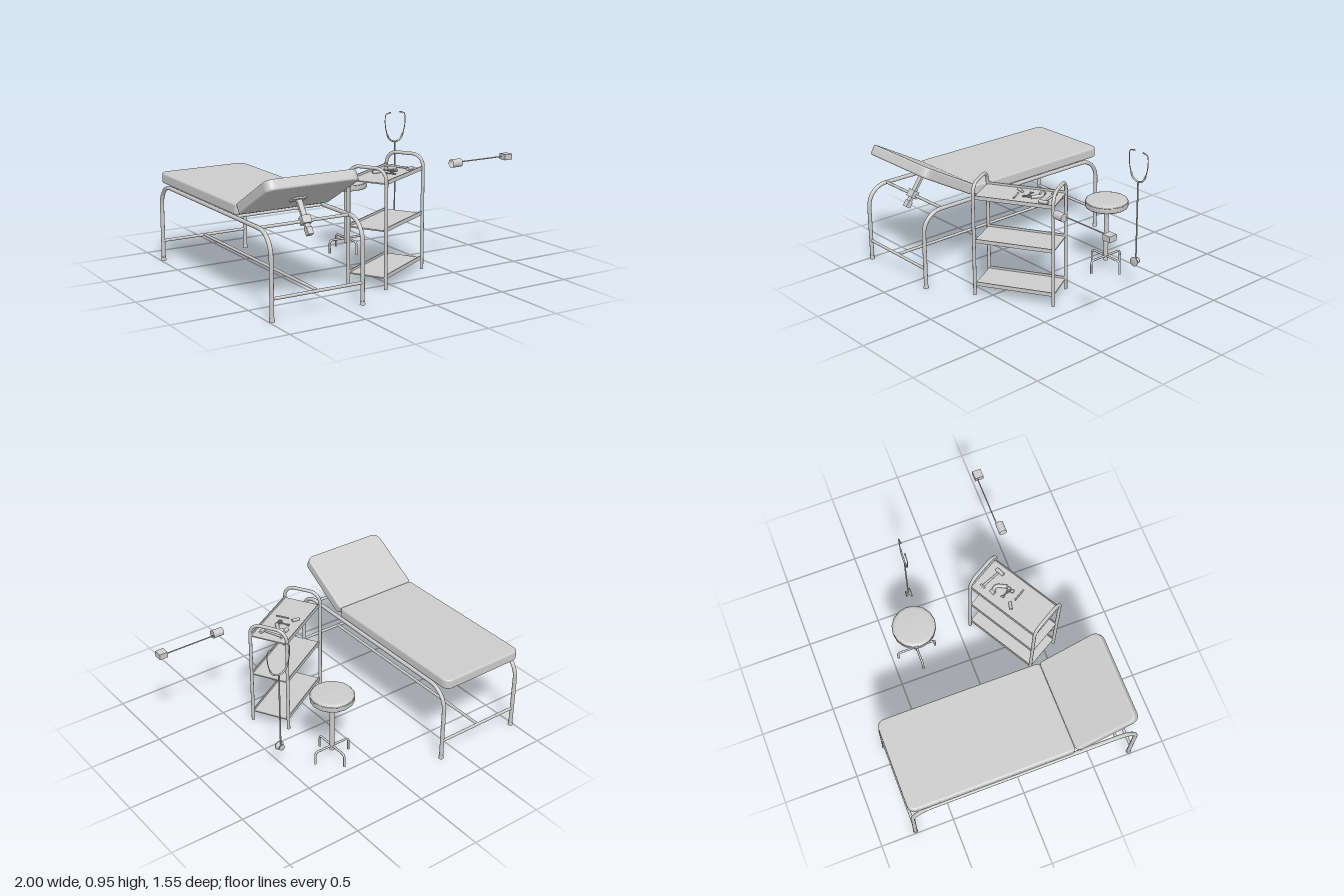
import * as THREE from 'three';

const material = new THREE.MeshStandardMaterial({ color: 0xcccccc, side: THREE.DoubleSide });
const V = (x, y, z) => new THREE.Vector3(x, y, z);

function add(parent, name, geometry, x = 0, y = 0, z = 0) {
  const mesh = new THREE.Mesh(geometry, material);
  mesh.name = name;
  mesh.position.set(x, y, z);
  parent.add(mesh);
  return mesh;
}

function group(parent, name, x = 0, y = 0, z = 0) {
  const g = new THREE.Group();
  g.name = name;
  g.position.set(x, y, z);
  parent.add(g);
  return g;
}

const box = (parent, name, w, h, d, x, y, z) => add(parent, name, new THREE.BoxGeometry(w, h, d), x, y, z);

// Straight round bar between two points
function bar(parent, name, a, b, r, r2 = r) {
  const mesh = add(parent, name, new THREE.CylinderGeometry(r2, r, a.distanceTo(b), 12));
  mesh.position.copy(a).add(b).multiplyScalar(0.5);
  mesh.quaternion.setFromUnitVectors(V(0, 1, 0), b.clone().sub(a).normalize());
  return mesh;
}

// Tube along a polyline whose inner corners are rounded
function bentTube(parent, name, points, cornerRadius, r, segments = 80) {
  const path = new THREE.CurvePath();
  let from = points[0];
  for (let i = 1; i < points.length - 1; i++) {
    const p = points[i];
    const before = p.clone().add(points[i - 1].clone().sub(p).setLength(cornerRadius));
    const after = p.clone().add(points[i + 1].clone().sub(p).setLength(cornerRadius));
    const k = 0.552;
    path.add(new THREE.LineCurve3(from, before));
    path.add(new THREE.CubicBezierCurve3(before, before.clone().lerp(p, k), after.clone().lerp(p, k), after));
    from = after;
  }
  path.add(new THREE.LineCurve3(from, points[points.length - 1]));
  return add(parent, name, new THREE.TubeGeometry(path, segments, r, 10));
}

// Padded slab, z from 0 to length, y from 0 to height; the far end has the rounder corners
function cushion(parent, name, width, length, height) {
  const bevel = 0.012, w = width / 2 - bevel, l = length - bevel, R = 0.045, r = 0.012;
  const s = new THREE.Shape();
  s.moveTo(-w + r, bevel);
  s.lineTo(w - r, bevel);
  s.quadraticCurveTo(w, bevel, w, bevel + r);
  s.lineTo(w, l - R);
  s.quadraticCurveTo(w, l, w - R, l);
  s.lineTo(-w + R, l);
  s.quadraticCurveTo(-w, l, -w, l - R);
  s.lineTo(-w, bevel + r);
  s.quadraticCurveTo(-w, bevel, -w + r, bevel);
  const geometry = new THREE.ExtrudeGeometry(s, {
    depth: height - 2 * bevel, bevelThickness: bevel, bevelSize: bevel, bevelSegments: 3, curveSegments: 8,
  });
  geometry.rotateX(Math.PI / 2).translate(0, height - bevel, 0);
  return add(parent, name, geometry);
}

function buildBed(root) {
  const bed = group(root, 'examinationBed', -0.675);
  const halfX = 0.307, endZ = 0.76, topY = 0.523;
  for (const x of [-halfX, halfX]) {
    bentTube(bed, 'sideFrame', [V(x, 0.01, endZ), V(x, topY, endZ), V(x, topY, -endZ), V(x, 0.01, -endZ)], 0.14, 0.0135, 110);
    for (const z of [-endZ, endZ]) add(bed, 'foot', new THREE.CylinderGeometry(0.015, 0.017, 0.025, 12), x, 0.0125, z);
  }
  for (const z of [-endZ, endZ]) bar(bed, 'lowerCrossBar', V(-halfX, 0.137, z), V(halfX, 0.137, z), 0.01);
  bar(bed, 'lowerLongBar', V(0, 0.137, -endZ), V(0, 0.137, endZ), 0.01);
  for (const z of [0.61, 0.3, -0.6]) bar(bed, 'upperCrossBar', V(-halfX, topY, z), V(halfX, topY, z), 0.01);

  // Flat mattress and tilted backrest
  const mattress = cushion(bed, 'mattress', 0.618, 1.105, 0.07);
  mattress.rotation.y = Math.PI;
  mattress.position.set(0, 0.536, 0.33);
  const backrest = group(bed, 'backrest', 0, 0.545, 0.36);
  backrest.rotation.x = -0.517;
  cushion(backrest, 'backrestCushion', 0.618, 0.445, 0.07);
  box(backrest, 'propPlate', 0.09, 0.012, 0.06, 0, -0.004, 0.2);

  // Adjustable prop sliding through a sleeve on the cross bar
  const prop = group(bed, 'backrestProp', 0, 0.645, 0.535);
  prop.rotation.x = -0.62;
  box(prop, 'propBar', 0.034, 0.24, 0.018, 0, -0.11, 0);
  box(prop, 'propSleeve', 0.06, 0.05, 0.045, 0, -0.14, 0);
  box(prop, 'propStop', 0.036, 0.045, 0.036, 0, -0.213, 0);
}

function buildCart(root) {
  const cart = group(root, 'instrumentCart', 0.08, 0, 0.335);
  cart.rotation.y = Math.PI / 6;
  for (const x of [-0.264, 0.264]) {
    bentTube(cart, 'endFrame', [V(x, 0, 0.131), V(x, 0.762, 0.131), V(x, 0.762, -0.131), V(x, 0, -0.131)], 0.075, 0.0115, 110);
  }
  for (const y of [0.075, 0.375, 0.672]) {
    box(cart, 'shelf', 0.528, 0.008, 0.25, 0, y - 0.004, 0);
    for (const z of [-0.126, 0.126]) box(cart, 'shelfLip', 0.528, 0.026, 0.006, 0, y + 0.002, z);
  }
}

// Small tools lying on the top shelf
function buildInstruments(root) {
  const tools = group(root, 'instruments', 0, 0.681, 0);
  bar(tools, 'hammerHandle', V(0.225, 0, 0.171), V(0.28, 0, 0.305), 0.008, 0.006);
  bar(tools, 'hammerHead', V(0.25, 0, 0.322), V(0.306, 0, 0.296), 0.012);
  bar(tools, 'hammerEnd', V(0.208, 0, 0.177), V(0.24, 0, 0.162), 0.007);
  bentTube(tools, 'scopeHandle', [V(0.16, 0, 0.21), V(0.2, 0, 0.25), V(0.165, 0, 0.315)], 0.02, 0.012, 16);
  bar(tools, 'scopeHead', V(0.15, 0, 0.222), V(0.18, 0, 0.206), 0.015, 0.009);
  for (const [x, z] of [[0.125, 0.335], [0.15, 0.32]]) {
    const ring = add(tools, 'scissorRing', new THREE.TorusGeometry(0.012, 0.003, 6, 12), x, 0, z);
    ring.rotation.x = Math.PI / 2;
  }
  bar(tools, 'scissorBlade', V(0.128, 0, 0.323), V(0.115, 0, 0.25), 0.003);
  bar(tools, 'scissorBlade', V(0.143, 0, 0.312), V(0.1, 0, 0.262), 0.003);
  bar(tools, 'probe', V(0.06, 0, 0.33), V(0.105, 0, 0.405), 0.005);
  bar(tools, 'vial', V(0.01, 0, 0.282), V(0.058, 0, 0.292), 0.01);
}

function buildStool(root) {
  const stool = group(root, 'stool', 0.19, 0, -0.325);
  const profile = [[0, 0.448], [0.136, 0.448], [0.144, 0.456], [0.144, 0.488], [0.138, 0.499], [0.12, 0.504], [0, 0.506]];
  add(stool, 'seat', new THREE.LatheGeometry(profile.map(([x, y]) => new THREE.Vector2(x, y)), 16));
  const piping = add(stool, 'seatPiping', new THREE.TorusGeometry(0.143, 0.003, 6, 16), 0, 0.488, 0);
  piping.rotation.x = Math.PI / 2;
  bar(stool, 'column', V(0, 0.06, 0), V(0, 0.45, 0), 0.016);
  for (let i = 0; i < 4; i++) {
    const leg = bentTube(stool, 'leg', [V(0, 0.09, 0), V(0.133, 0.09, 0), V(0.133, 0, 0)], 0.025, 0.0075, 30);
    leg.rotation.y = i * Math.PI / 2;
  }
}

function buildStethoscope(root) {
  const scope = group(root, 'stethoscope', 0.54, 0, -0.252);
  bar(scope, 'hose', V(0, 0.2, 0), V(0, 0.745, 0), 0.005);
  const yoke = new THREE.CatmullRomCurve3([V(-0.066, 0.8, 0), V(-0.045, 0.763, 0), V(0, 0.743, 0), V(0.045, 0.763, 0), V(0.066, 0.8, 0)]);
  add(scope, 'yoke', new THREE.TubeGeometry(yoke, 24, 0.006, 8));
  for (const s of [-1, 1]) {
    const wire = new THREE.CatmullRomCurve3([
      V(s * 0.066, 0.8, 0), V(s * 0.078, 0.845, 0), V(s * 0.082, 0.9, 0), V(s * 0.075, 0.936, 0), V(s * 0.045, 0.946, 0),
    ]);
    add(scope, 'earTube', new THREE.TubeGeometry(wire, 24, 0.003, 6));
    bar(scope, 'earTip', V(s * 0.052, 0.945, 0), V(s * 0.036, 0.947, 0), 0.005);
  }
  // Spool-shaped chest piece
  const profile = [[0, -0.018], [0.02, -0.018], [0.02, -0.012], [0.009, -0.006], [0.009, 0.006], [0.03, 0.013], [0.032, 0.02], [0, 0.02]];
  const chest = add(scope, 'chestPiece', new THREE.LatheGeometry(profile.map(([x, y]) => new THREE.Vector2(x, y)), 20), 0, 0.195, 0);
  chest.rotation.x = Math.PI / 2;
}

// Open cup and block joined by a slim rod
function buildArm(root) {
  const arm = group(root, 'rodArm', 0, 0.706, 0.425);
  const cup = add(arm, 'cup', new THREE.CylinderGeometry(0.027, 0.027, 0.074, 16, 1, true), 0.556, 0, 0);
  cup.rotation.z = Math.PI / 2;
  bar(arm, 'cupBase', V(0.585, 0, 0), V(0.592, 0, 0), 0.027);
  bar(arm, 'rod', V(0.585, 0, -0.017), V(0.95, 0, -0.017), 0.004);
  box(arm, 'block', 0.058, 0.038, 0.058, 0.971, 0, -0.005);
}

export function createModel() {
  const root = new THREE.Group();
  root.name = 'examinationRoom';
  [buildBed, buildCart, buildInstruments, buildStool, buildStethoscope, buildArm].forEach((build) => build(root));
  return root;
}
